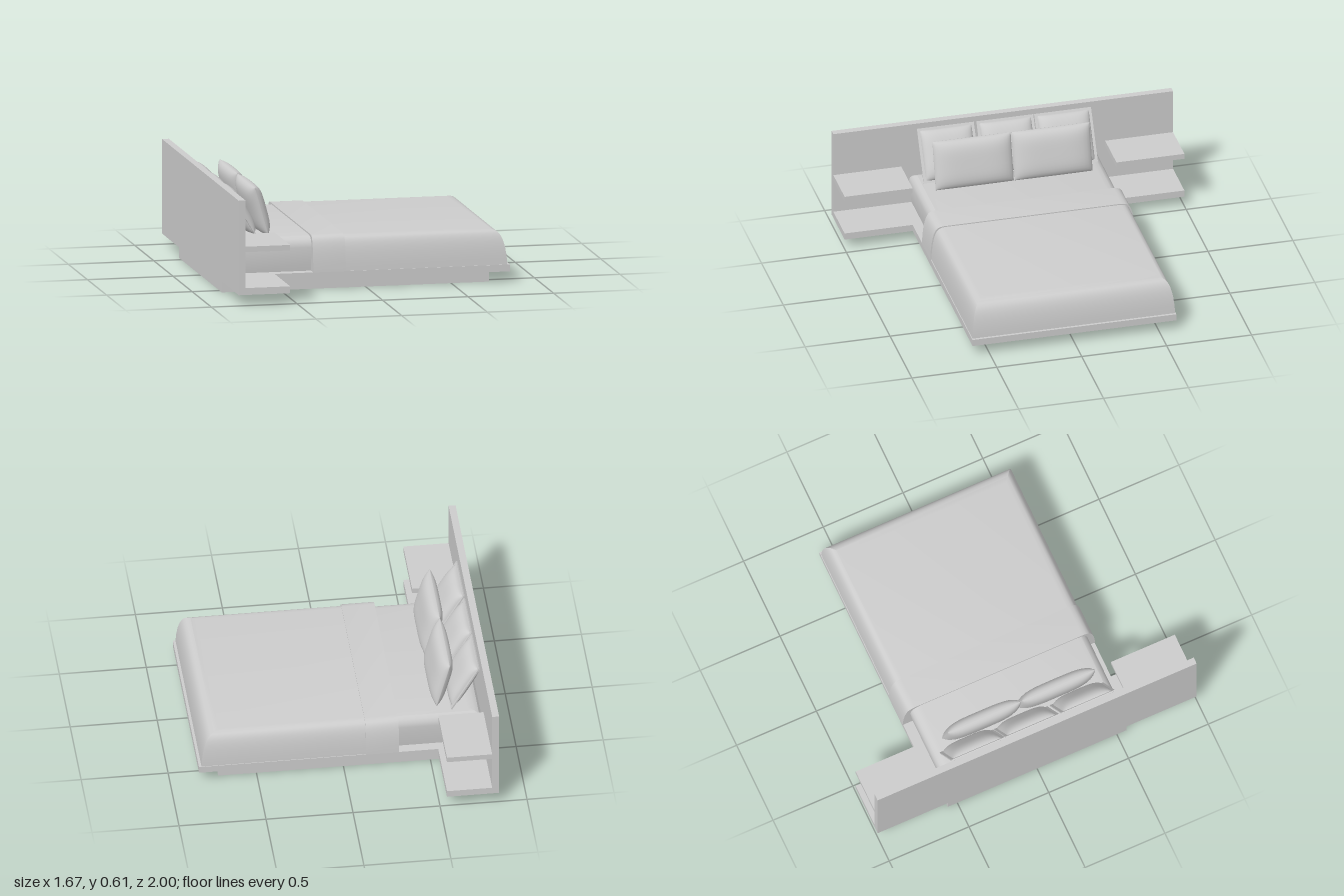
import * as THREE from 'three';
import { toCreasedNormals } from 'three/addons/utils/BufferGeometryUtils.js';

const paleGrey = new THREE.MeshStandardMaterial({ color: 0xcccccc });
paleGrey.name = 'paleGrey';

function add(parent, name, geometry) {
  const mesh = new THREE.Mesh(geometry, paleGrey);
  mesh.name = name;
  parent.add(mesh);
  return mesh;
}

// Box given by its min and max on each axis
function slab(parent, name, x0, x1, y0, y1, z0, z1) {
  const mesh = add(parent, name, new THREE.BoxGeometry(x1 - x0, y1 - y0, z1 - z0));
  mesh.position.set((x0 + x1) / 2, (y0 + y1) / 2, (z0 + z1) / 2);
  return mesh;
}

// Stack of rectangles [y, xMin, xMax, halfDepth], bottom to top, with mitred corners
function stackedRects(levels) {
  const positions = [];
  const index = [];
  for (const [y, x0, x1, d] of levels) {
    positions.push(x0, y, d, x1, y, d, x1, y, -d, x0, y, -d);
  }
  for (let i = 0; i < levels.length - 1; i++) {
    for (let k = 0; k < 4; k++) {
      const a = i * 4 + k;
      const b = i * 4 + (k + 1) % 4;
      index.push(a, b, b + 4, a, b + 4, a + 4);
    }
  }
  const t = (levels.length - 1) * 4;
  index.push(t, t + 1, t + 2, t, t + 2, t + 3, 0, 2, 1, 0, 3, 2);
  const geometry = new THREE.BufferGeometry();
  geometry.setAttribute('position', new THREE.Float32BufferAttribute(positions, 3));
  geometry.setIndex(index);
  return toCreasedNormals(geometry, 0.5);
}

// Square cushion, thickest in the middle and pinched to a thin seam at the rim
function cushion(thick, high, wide) {
  const geometry = new THREE.BoxGeometry(thick, high, wide, 1, 18, 18);
  const p = geometry.attributes.position;
  for (let i = 0; i < p.count; i++) {
    // Cosine spacing packs the vertices near the rim
    const u = Math.sin(p.getY(i) / high * Math.PI);
    const v = Math.sin(p.getZ(i) / wide * Math.PI);
    const puff = Math.sqrt(Math.max(0, (1 - u ** 4) * (1 - v ** 4)));
    p.setXYZ(i, p.getX(i) * Math.max(puff, 0.02), u * high / 2, v * wide / 2);
  }
  geometry.computeVertexNormals();
  return geometry;
}

export function createModel() {
  const bed = new THREE.Group();
  bed.name = 'bed';

  // Frame
  slab(bed, 'plinth', -0.84, 0.72, 0, 0.062, -0.56, 0.56);
  slab(bed, 'platform', -0.80, 0.835, 0.062, 0.102, -0.6, 0.6);
  slab(bed, 'headboard', -0.84, -0.80, 0.062, 0.61, -1, 1);
  for (const s of [-1, 1]) {
    const z0 = Math.min(s * 0.6, s);
    slab(bed, 'lowerShelf', -0.80, -0.54, 0.062, 0.102, z0, z0 + 0.4);
    slab(bed, 'upperShelf', -0.80, -0.54, 0.31, 0.342, z0, z0 + 0.4);
  }

  // Mattress with a rounded sheet over its top
  add(bed, 'mattress', stackedRects([
    [0.102, -0.80, 0.6, 0.54],
    [0.24, -0.80, 0.6, 0.556],
    [0.265, -0.797, 0.6, 0.55],
    [0.284, -0.783, 0.6, 0.537],
    [0.296, -0.757, 0.6, 0.517],
    [0.302, -0.72, 0.6, 0.49],
  ]));

  // Duvet, draped over the sides and the foot
  const drape = [
    [0.102, 0], [0.15, 0.003], [0.20, 0.01], [0.235, 0.018], [0.26, 0.027],
    [0.28, 0.038], [0.293, 0.052], [0.301, 0.073], [0.304, 0.1],
  ];
  add(bed, 'duvet', stackedRects(
    drape.map(([y, inset]) => [y, -0.30, 0.82 - inset * 1.08, 0.596 - inset * 0.8])));

  // Folded-back band across the head end of the duvet
  const side = drape.map(([y, inset]) =>
    new THREE.Vector2(0.603 - inset * 0.8, y === 0.102 ? y : y + 0.006));
  const outline = [...side, ...side.map((p) => new THREE.Vector2(-p.x, p.y)).reverse()];
  const band = new THREE.ExtrudeGeometry(new THREE.Shape(outline),
    { depth: 0.19, bevelEnabled: false });
  band.rotateY(Math.PI / 2);
  band.translate(-0.315, 0, 0);
  add(bed, 'duvetFold', toCreasedNormals(band, 0.5));

  // Three flanged cushions leaning on the headboard
  for (const z of [-0.345, -0.005, 0.345]) {
    const group = new THREE.Group();
    group.name = 'backCushion';
    add(group, 'cushionFilling', cushion(0.09, 0.29, 0.305));
    add(group, 'cushionFlange', new THREE.BoxGeometry(0.008, 0.315, 0.335));
    group.position.set(-0.707, 0.448, z);
    group.rotation.z = 0.53;
    bed.add(group);
  }

  // Two pillows in front of them
  for (const z of [-0.232, 0.232]) {
    const pillow = add(bed, 'frontPillow', cushion(0.1, 0.285, 0.46));
    pillow.position.set(-0.586, 0.442, z);
    pillow.rotation.z = 0.27;
  }

  return bed;
}
